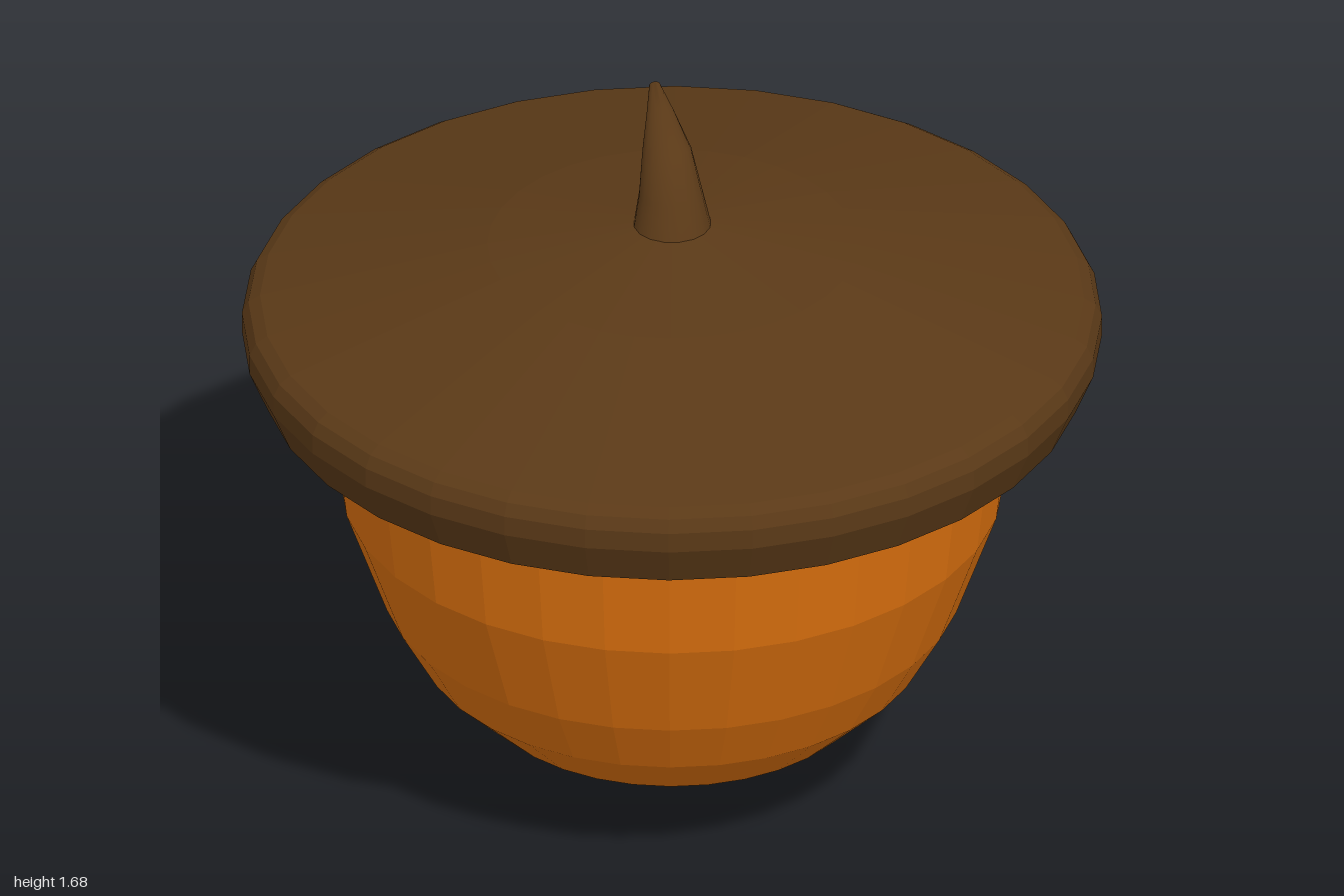
import * as THREE from 'three';

const SIDES = 32;

// Faceted solid of revolution from [radius, height] pairs, bottom to top
function turned(name, profile, color) {
  const geometry = new THREE.LatheGeometry(profile.map(([r, y]) => new THREE.Vector2(r, y)), SIDES);
  const mesh = new THREE.Mesh(geometry, new THREE.MeshStandardMaterial({ color, flatShading: true }));
  mesh.name = name;
  return mesh;
}

// Tapered curved stalk: each ring is [frontZ, frontY, backZ, backY, halfWidth, offsetX]
function stalk(rings, color) {
  const n = 16, positions = [], index = [];
  for (const [fz, fy, bz, by, w, ox] of rings) {
    for (let i = 0; i < n; i++) {
      const a = (i / n) * Math.PI * 2, c = Math.cos(a) / 2;
      positions.push(ox + w * Math.sin(a), (fy + by) / 2 + (fy - by) * c, (fz + bz) / 2 + (fz - bz) * c);
    }
  }
  for (let k = 0; k < rings.length - 1; k++) {
    for (let i = 0; i < n; i++) {
      const a = k * n + i, b = k * n + (i + 1) % n;
      index.push(a, b, b + n, a, b + n, a + n);
    }
  }
  // Tip cap
  const last = (rings.length - 1) * n;
  for (let i = 1; i < n - 1; i++) index.push(last, last + i, last + i + 1);
  const geometry = new THREE.BufferGeometry();
  geometry.setAttribute('position', new THREE.Float32BufferAttribute(positions, 3));
  geometry.setIndex(index);
  geometry.computeVertexNormals();
  const mesh = new THREE.Mesh(geometry, new THREE.MeshStandardMaterial({ color }));
  mesh.name = 'stem';
  return mesh;
}

export function createModel() {
  const group = new THREE.Group();
  group.name = 'acorn';
  const brown = 0x5a3917;

  // Rounded nut with a pointed bottom
  group.add(turned('nut', [
    [0, 0], [0.04, 0.005], [0.11, 0.03], [0.45, 0.2], [0.59, 0.335],
    [0.675, 0.485], [0.77, 0.75], [0.803, 1.03],
  ], 0xd96f0e));

  // Wide cap with a bevelled rim
  group.add(turned('cap', [
    [0.78, 1.01], [0.8, 1.015], [0.958, 1.06], [1, 1.16], [1, 1.21],
    [0.985, 1.24], [0.958, 1.258], [0.43, 1.4], [0.09, 1.458], [0, 1.465],
  ], brown));

  // Stem bending towards the back
  group.add(stalk([
    [0.095, 1.45, -0.085, 1.45, 0.092, 0],
    [0.055, 1.53, -0.085, 1.53, 0.075, 0],
    [-0.01, 1.635, -0.12, 1.6, 0.058, 0],
    [-0.16, 1.675, -0.185, 1.64, 0.032, 0.005],
    [-0.275, 1.678, -0.28, 1.655, 0.013, 0.012],
  ], brown));

  return group;
}
